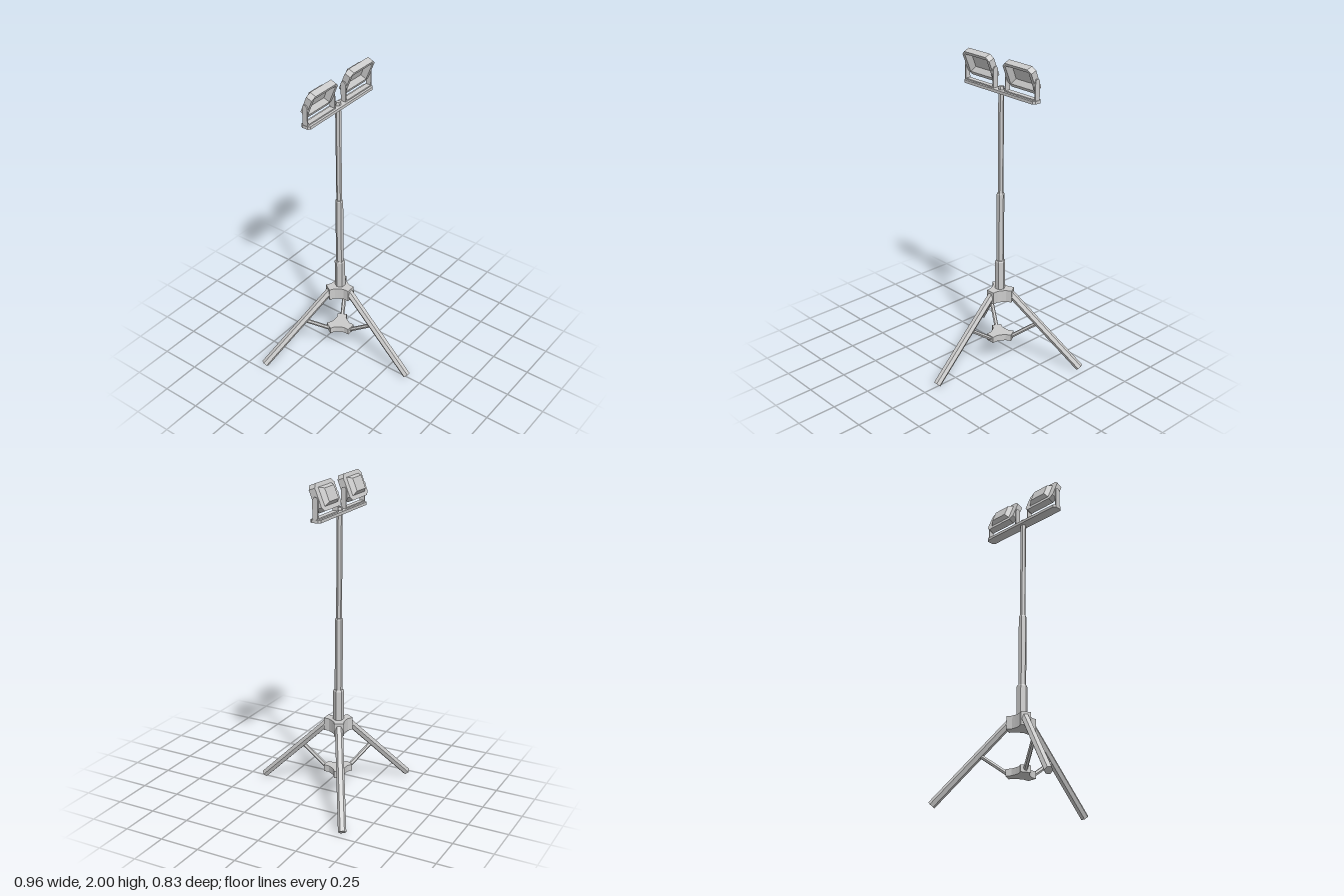
import * as THREE from 'three';

const grey = new THREE.MeshStandardMaterial({ color: 0xcccccc, flatShading: true });
const AXIS_Z = -0.13; // mast axis

function add(parent, name, geometry, x = 0, y = 0, z = 0) {
  const mesh = new THREE.Mesh(geometry, grey);
  mesh.name = name;
  mesh.position.set(x, y, z);
  parent.add(mesh);
  return mesh;
}

// hexagonal bar with two corners on the x axis
const hexBar = (rTop, rBottom, length) =>
  new THREE.CylinderGeometry(rTop, rBottom, length, 6).rotateY(Math.PI / 6);

// hexagonal rod between two points given as [radius, height] in the yz plane
function addRod(parent, name, r, [z0, y0], [z1, y1]) {
  const dz = z1 - z0, dy = y1 - y0;
  const geometry = hexBar(r, r, Math.hypot(dz, dy)).rotateX(Math.atan2(dz, dy));
  return add(parent, name, geometry, 0, (y0 + y1) / 2, (z0 + z1) / 2);
}

// rectangle with cut corners
function cutRect(w, h, c) {
  return new THREE.Shape([
    [w - c, -h], [w, -h + c], [w, h - c], [w - c, h],
    [-w + c, h], [-w, h - c], [-w, -h + c], [-w + c, -h],
  ].map(([x, y]) => new THREE.Vector2(x, y)));
}

const extrude = (shape, depth) =>
  new THREE.ExtrudeGeometry(shape, { depth, bevelEnabled: false });

// box from z = 0 back to -depth whose back end is narrowed; half sizes
function taperedBox(w0, h0, w1, h1, depth, inside = false) {
  const g = new THREE.BoxGeometry(2, 2, depth).translate(0, 0, -depth / 2);
  const p = g.attributes.position;
  for (let i = 0; i < p.count; i++) {
    const back = p.getZ(i) < -depth / 2;
    p.setXY(i, p.getX(i) * (back ? w1 : w0), p.getY(i) * (back ? h1 : h0));
  }
  if (inside) { // open front, faces turned inward
    const idx = Array.from(g.index.array);
    idx.splice(24, 6);
    g.setIndex(idx.reverse());
  }
  const flat = g.toNonIndexed();
  flat.computeVertexNormals();
  return flat;
}

// three-armed hub
function hubGeometry(height) {
  const arm = [[0.04, 0.03], [0.03, 0.05], [0.03, 0.085], [-0.03, 0.085], [-0.03, 0.05], [-0.04, 0.03]];
  const points = [];
  for (let k = 0; k < 3; k++) {
    for (const [x, y] of arm) {
      points.push(new THREE.Vector2(x, y).rotateAround(new THREE.Vector2(), k * Math.PI * 2 / 3));
    }
  }
  return extrude(new THREE.Shape(points), height).rotateX(Math.PI / 2).translate(0, height, 0);
}

function createFloodlight() {
  const light = new THREE.Group();
  light.name = 'floodlight';

  // tilted lamp head, front face at z = 0
  const head = new THREE.Group();
  head.name = 'lampHead';
  head.position.set(0, 1.912, 0.022);
  head.rotation.x = 0.39;
  light.add(head);
  const rim = cutRect(0.116, 0.081, 0.024);
  rim.holes.push(new THREE.Path([
    [-0.095, -0.062], [-0.095, 0.062], [0.095, 0.062], [0.095, -0.062],
  ].map(([x, y]) => new THREE.Vector2(x, y))));
  add(head, 'lampRim', extrude(rim, 0.03), 0, 0, -0.03);
  add(head, 'lampBackPlate', extrude(cutRect(0.116, 0.081, 0.024), 0.01), 0, 0, -0.04);
  add(head, 'reflector', taperedBox(0.095, 0.062, 0.07, 0.04, 0.0295, true));
  add(head, 'rearHousing', taperedBox(0.077, 0.056, 0.056, 0.04, 0.025), 0, 0, -0.04);

  // U-shaped bracket
  add(light, 'bracketBase', new THREE.BoxGeometry(0.25, 0.008, 0.034), 0, 1.808, 0);
  const upright = new THREE.Shape([
    [-0.017, 1.804], [0.017, 1.804], [0.017, 1.917], [0.008, 1.93], [-0.008, 1.93], [-0.017, 1.917],
  ].map(([x, y]) => new THREE.Vector2(x, y)));
  for (const s of [-1, 1]) {
    const g = extrude(upright, 0.008).translate(0, 0, -0.004).rotateY(Math.PI / 2);
    add(light, 'bracketUpright', g, s * 0.121, 0, 0);
  }
  return light;
}

export function createModel() {
  const model = new THREE.Group();
  model.name = 'floodlightTripod';
  const stand = new THREE.Group();
  stand.name = 'stand';
  stand.position.z = AXIS_Z;
  model.add(stand);

  // telescopic mast: [radius, bottom, top]
  for (const [r, y0, y1] of [[0.033, 0.45, 0.69], [0.024, 0.69, 1.145], [0.0175, 1.145, 1.815]]) {
    add(stand, 'mastSection', hexBar(r, r, y1 - y0), 0, (y0 + y1) / 2, 0);
    add(stand, 'mastCollar', hexBar(r * 0.85, r, 0.01), 0, y1 + 0.005, 0);
  }

  // hubs, legs and braces
  add(stand, 'upperHub', hubGeometry(0.08), 0, 0.425, 0);
  add(stand, 'lowerHub', hubGeometry(0.042), 0, 0.145, 0);
  for (let k = 0; k < 3; k++) {
    const side = new THREE.Group();
    side.name = 'legAssembly';
    side.rotation.y = k * Math.PI * 2 / 3;
    addRod(side, 'leg', 0.0245, [0.07, 0.475], [0.53, 0.015]);
    addRod(side, 'brace', 0.013, [0.075, 0.162], [0.25, 0.29]);
    stand.add(side);
  }

  // crossbar with two floodlights
  add(stand, 'crossbar', extrude(cutRect(0.3, 0.032, 0.012), 0.018).rotateX(Math.PI / 2), 0, 1.805, 0);
  for (const s of [-1, 1]) {
    const light = createFloodlight();
    light.position.x = s * 0.172;
    stand.add(light);
  }
  return model;
}
